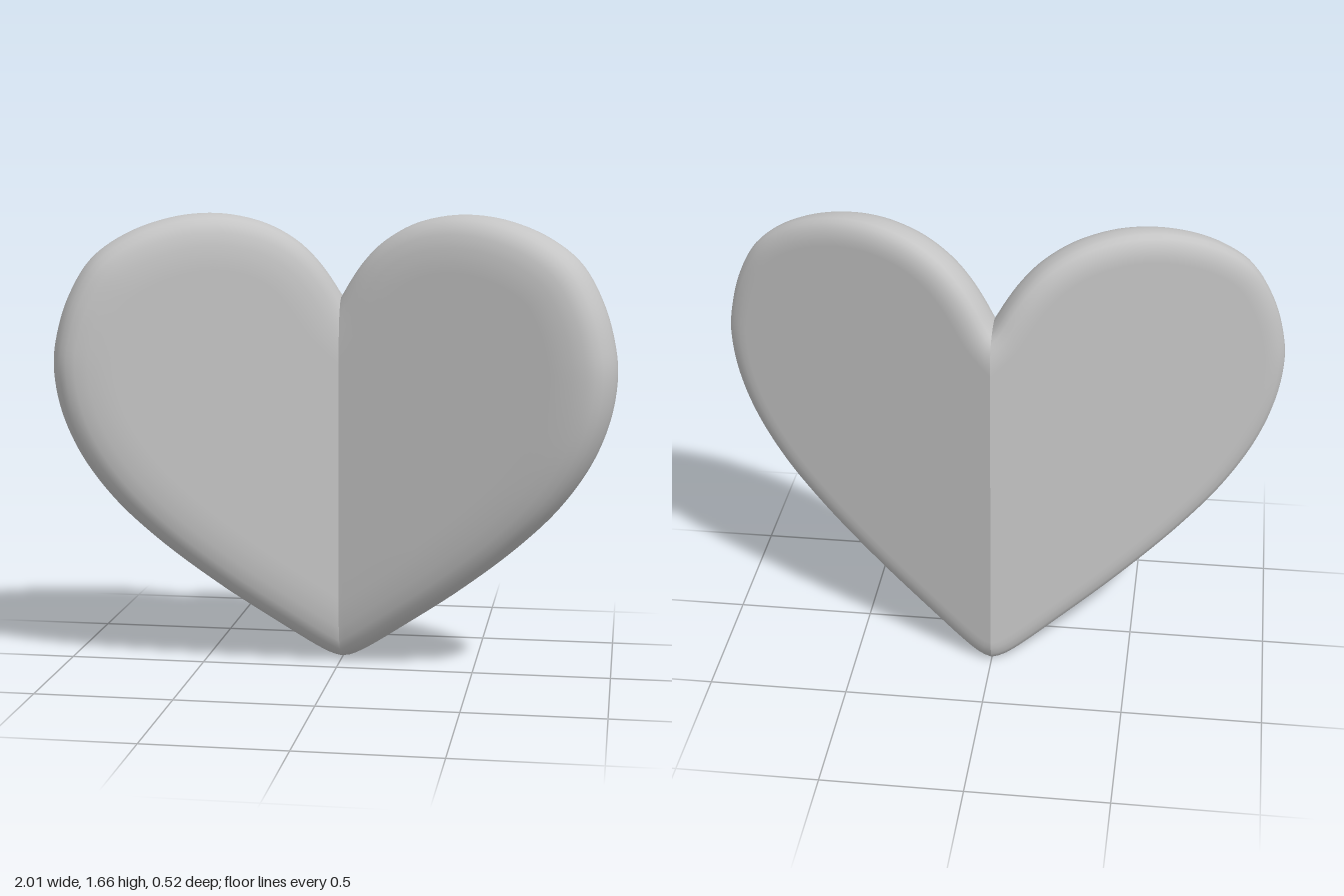
import * as THREE from 'three';

const FOLD = THREE.MathUtils.degToRad(20);
const COS = Math.cos(FOLD), SIN = Math.sin(FOLD), TAN = Math.tan(FOLD);
const SEAM_Z = -0.26;
const STEPS = 110;

// outline of one lobe from the notch to the tip, running on past the fold at both ends
const OUTLINE = [
  [-0.25, 1.12], [-0.05, 1.29], [0, 1.34], [0.02, 1.37], [0.05, 1.42], [0.1, 1.49], [0.17, 1.56],
  [0.27, 1.62], [0.38, 1.652], [0.48, 1.66], [0.6, 1.645], [0.75, 1.59], [0.87, 1.5],
  [0.95, 1.36], [0.99, 1.22], [1, 1.12], [0.98, 0.97], [0.92, 0.81], [0.81, 0.64],
  [0.66, 0.48], [0.45, 0.3], [0.25, 0.15], [0.08, 0.03], [0.03, 0.005], [0, 0], [-0.3, 0],
];

// edge profile from back to front: [inset from the outline, height above the back face]
const PROFILE = [
  [0.09, 0], [0.065, 0.001], [0.035, 0.007], [0.012, 0.022], [0.002, 0.04], [0, 0.06], [0, 0.085],
  [0.006, 0.115], [0.016, 0.14], [0.035, 0.163], [0.065, 0.18], [0.11, 0.191], [0.16, 0.196], [0.2, 0.197],
];

// inset outline, cut off at the fold and resampled evenly
function makeRing(curve, inset, w) {
  const seam = w * TAN, dense = 900, pts = [];
  for (let i = 0; i <= dense; i++) {
    const p = curve.getPoint(i / dense), t = curve.getTangent(i / dense);
    pts.push(new THREE.Vector2(p.x + t.y * inset, p.y - t.x * inset));
  }
  const mid = Math.round(dense * 0.55);
  let lo = mid, hi = mid;
  while (lo > 0 && pts[lo - 1].x > seam) lo--;
  while (hi < dense && pts[hi + 1].x > seam) hi++;
  const cut = (a, b) => a.clone().lerp(b, (a.x - seam) / (a.x - b.x));
  const kept = [cut(pts[lo], pts[lo - 1]), ...pts.slice(lo, hi + 1), cut(pts[hi], pts[hi + 1])];

  const len = [0];
  for (let i = 1; i < kept.length; i++) len.push(len[i - 1] + kept[i].distanceTo(kept[i - 1]));
  const ring = [];
  for (let i = 0, j = 1; i <= STEPS; i++) {
    const s = (i / STEPS) * len[len.length - 1];
    while (j < kept.length - 1 && len[j] < s) j++;
    const f = (s - len[j - 1]) / Math.max(len[j] - len[j - 1], 1e-9);
    ring.push(kept[j - 1].clone().lerp(kept[j], Math.min(f, 1)));
  }
  return ring;
}

// one half of the folded heart; side is +1 or -1
function makeHalf(side) {
  const curve = new THREE.CatmullRomCurve3(
    OUTLINE.map(([x, y]) => new THREE.Vector3((x + 0.02) / COS, y, 0)), false, 'centripetal');
  const position = [], index = [], row = STEPS + 1;
  const vertex = (u, y, w) => position.push(side * (u * COS - w * SIN), y, SEAM_Z + u * SIN + w * COS);
  const tri = (a, b, c) => (side > 0 ? index.push(a, b, c) : index.push(a, c, b));

  // rounded rim
  PROFILE.forEach(([inset, w]) => makeRing(curve, inset, w).forEach((p) => vertex(p.x, p.y, w)));
  for (let k = 0; k < PROFILE.length - 1; k++) {
    for (let i = 0; i < STEPS; i++) {
      const a = k * row + i, d = a + row;
      tri(a, d, a + 1);
      tri(a + 1, d, d + 1);
    }
  }

  // flat back and front faces, fanned out from the fold
  const thick = PROFILE[PROFILE.length - 1][1];
  const back = PROFILE.length * row, front = back + 1, last = (PROFILE.length - 1) * row;
  vertex(0, 0.7, 0);
  vertex(thick * TAN, 0.7, thick);
  for (let i = 0; i < STEPS; i++) {
    tri(back, i, i + 1);
    tri(front, last + i + 1, last + i);
  }

  const geometry = new THREE.BufferGeometry();
  geometry.setAttribute('position', new THREE.Float32BufferAttribute(position, 3));
  geometry.setIndex(index);
  geometry.computeVertexNormals();
  return geometry;
}

export function createModel() {
  const model = new THREE.Group();
  model.name = 'foldedHeart';
  const grey = new THREE.MeshStandardMaterial({ color: 0xc4c4c4 });
  grey.name = 'light grey';
  for (const [name, side] of [['leftHalf', 1], ['rightHalf', -1]]) {
    const half = new THREE.Mesh(makeHalf(side), grey);
    half.name = name;
    model.add(half);
  }
  return model;
}
